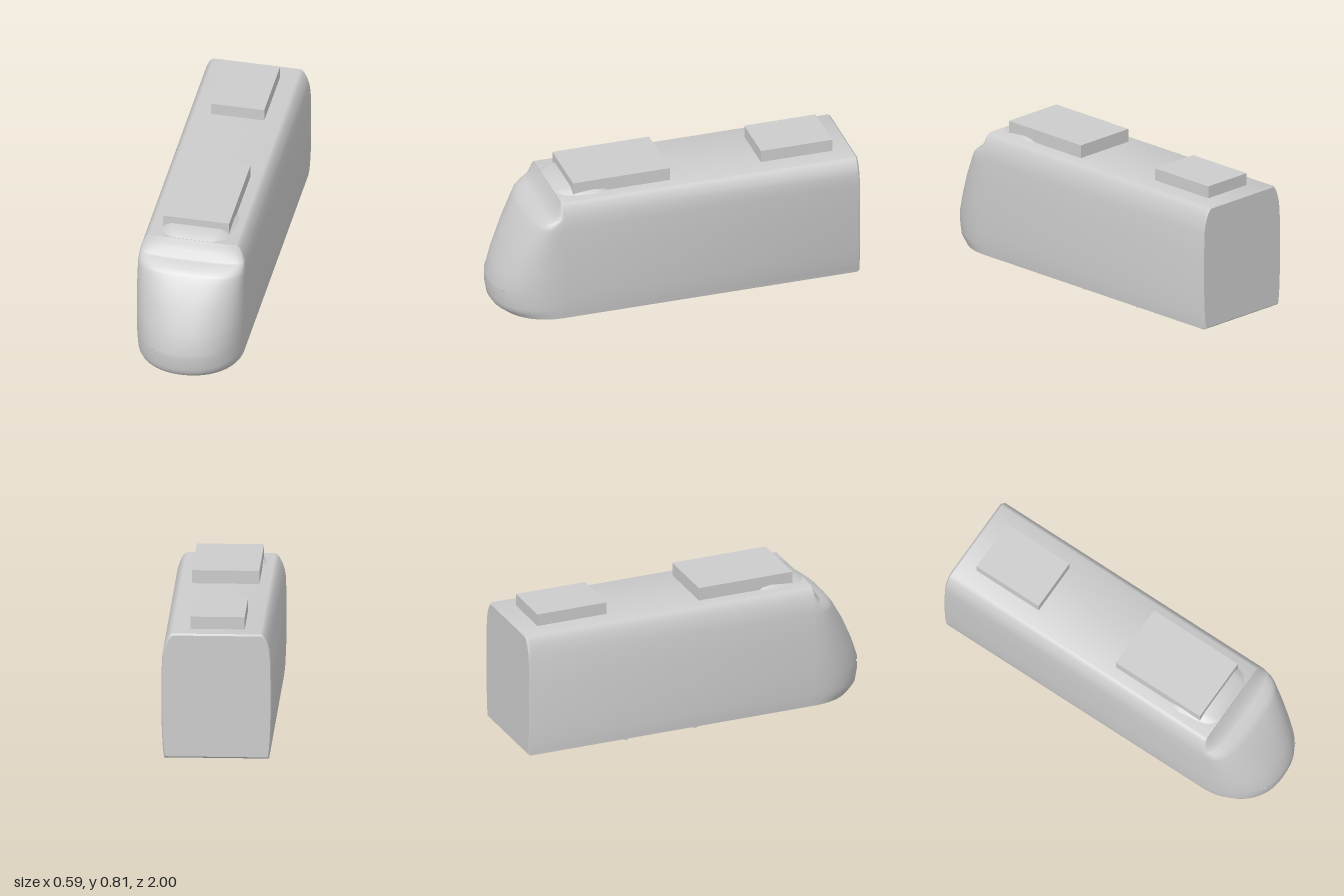
import * as THREE from 'three';
import { toCreasedNormals } from 'three/addons/utils/BufferGeometryUtils.js';

const grey = new THREE.MeshStandardMaterial({ color: 0xcccccc });
grey.name = 'light grey';

// Skin a list of equally long point rows
function loft(rows, closed, crease = 0.7) {
  const n = rows[0].length, idx = [];
  for (let i = 0; i < rows.length - 1; i++) {
    for (let j = 0; j < (closed ? n : n - 1); j++) {
      const k = (j + 1) % n;
      const a = i * n + j, b = i * n + k, c = a + n, d = b + n;
      idx.push(a, b, d, a, d, c);
    }
  }
  const g = new THREE.BufferGeometry();
  g.setAttribute('position', new THREE.Float32BufferAttribute(rows.flat(2), 3));
  g.setIndex(idx);
  return toCreasedNormals(g, crease);
}

// Linear lookup in a table of [key, value...] rows
function lookup(table, key, col = 1) {
  let i = 0;
  while (i < table.length - 2 && key > table[i + 1][0]) i++;
  const a = table[i], b = table[i + 1];
  return THREE.MathUtils.lerp(a[col], b[col], THREE.MathUtils.clamp((key - a[0]) / (b[0] - a[0]), 0, 1));
}

// Body half-width by height
const SIDE = [[0.057, 0.28], [0.085, 0.284], [0.12, 0.288], [0.2, 0.292], [0.3, 0.295], [0.46, 0.295],
  [0.6, 0.292], [0.65, 0.286], [0.69, 0.274], [0.72, 0.26], [0.736, 0.247], [0.742, 0.235]];
// Cab depth and plan squareness by height
const NOSE = [[0.057, 0.285, 2.1], [0.075, 0.31, 2.1], [0.1, 0.327, 2.2], [0.16, 0.338, 2.2], [0.22, 0.338, 2.2],
  [0.33, 0.3, 2.3], [0.46, 0.24, 2.5], [0.57, 0.175, 2.8], [0.61, 0.145, 3], [0.63, 0.12, 3],
  [0.655, 0.06, 3], [0.69, 0.03, 3], [0.742, 0.002, 3]];
const JOIN = 0.66;

function planPoint(y, t) {
  const w = lookup(SIDE, y), d = lookup(NOSE, y), e = 2 / lookup(NOSE, y, 2);
  const c = Math.cos(t), s = Math.max(0, Math.sin(t));
  return [w * Math.sign(c) * Math.abs(c) ** e, y, JOIN + d * s ** e];
}

export function createModel() {
  const model = new THREE.Group();
  const add = (name, geometry, x = 0, y = 0, z = 0) => {
    const m = new THREE.Mesh(geometry, grey);
    m.name = name;
    m.position.set(x, y, z);
    model.add(m);
    return m;
  };

  // Long body with a slightly bevelled rear end
  const section = [...SIDE.map(([y, w]) => [w, y]), ...SIDE.map(([y, w]) => [-w, y]).reverse()];
  const ring = (z, s) => section.map(([x, y]) => [x * s, 0.4 + (y - 0.4) * s, z]);
  add('body', loft([ring(-1, 0), ring(-1, 0.975), ring(-0.99, 1), ring(JOIN, 1), ring(JOIN, 0)], true));

  // Rounded, sloping cab
  const heights = [...new Set([...SIDE, ...NOSE].map((r) => r[0]))].sort((a, b) => a - b);
  const angles = Array.from({ length: 33 }, (_, i) => Math.PI * (1 - i / 32));
  const rows = heights.map((y) => angles.map((t) => planPoint(y, t)));
  rows.unshift(angles.map(() => [0, 0.057, JOIN]));
  add('cab', loft(rows, false));

  // Low fairing on the roof: z, half-width, top height
  const fairing = [[0.36, 0.18, 0.742], [0.4, 0.208, 0.764], [0.45, 0.21, 0.775], [0.56, 0.197, 0.775],
    [0.62, 0.18, 0.764], [0.66, 0.14, 0.742]];
  add('roofFairing', loft(fairing.map(([z, w, h]) => [
    [w, 0.735, z], [w * 0.86, 0.735 + (h - 0.735) * 0.6, z], [w * 0.7, h, z],
    [-w * 0.7, h, z], [-w * 0.86, 0.735 + (h - 0.735) * 0.6, z], [-w, 0.735, z],
  ]), true));

  // Roof equipment boxes
  add('frontRoofUnit', new THREE.BoxGeometry(0.36, 0.075, 0.542), 0, 0.7765, 0.303);
  add('rearRoofUnit', new THREE.BoxGeometry(0.29, 0.075, 0.4), 0, 0.7715, -0.69);

  for (const side of [1, -1]) {
    // Wheels half sunk into the floor
    for (const z of [0.01, -0.39]) {
      const wheel = new THREE.CylinderGeometry(0.06, 0.06, 0.022, 8).rotateZ(Math.PI / 2);
      add('wheel', wheel, side * 0.169, 0.06, z);
    }
    // Small six-sided lamps on the nose
    for (const [x, y, r] of [[0.137, 0.205, 0.01], [0.155, 0.217, 0.008]]) {
      const e = 2 / lookup(NOSE, y, 2);
      const p = planPoint(y, Math.acos((x / lookup(SIDE, y)) ** (1 / e)));
      const lamp = new THREE.CylinderGeometry(r, r, 0.006, 6).rotateX(Math.PI / 2);
      add('headlamp', lamp, side * x, y, p[2]).rotation.y = side * 0.45;
    }
  }
  return model;
}
